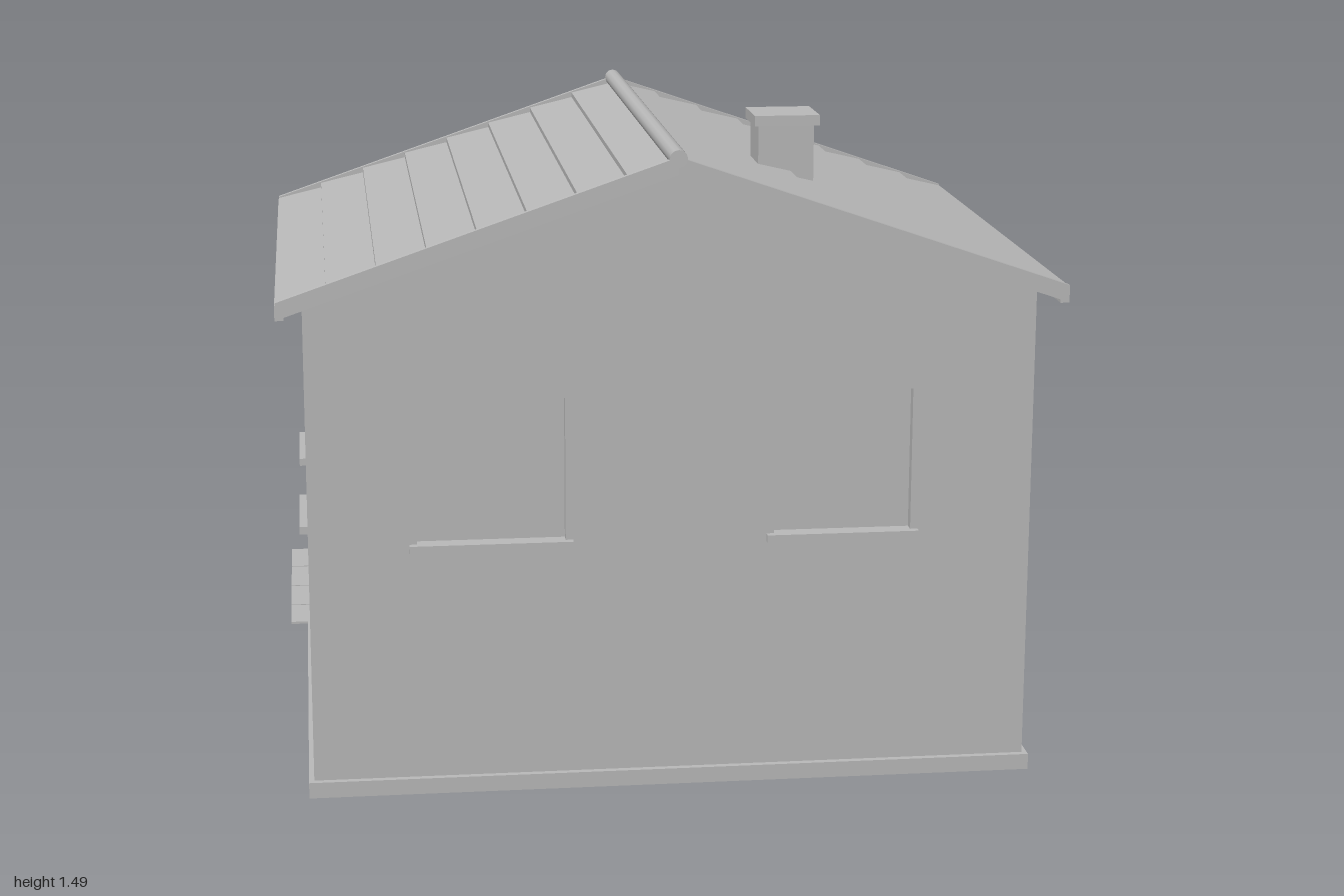
import * as THREE from 'three';

const grey = new THREE.MeshStandardMaterial({ color: 0xbababa });
grey.name = 'plain grey';
const greyThin = new THREE.MeshStandardMaterial({ color: 0xbababa, side: THREE.DoubleSide });
greyThin.name = 'plain grey cloth';

export function createModel() {
  const model = new THREE.Group();
  model.name = 'cornerShop';

  const add = (name, geo, mat = grey, parent = model) => {
    const m = new THREE.Mesh(geo, mat);
    m.name = name;
    parent.add(m);
    return m;
  };
  // box given by its min and max corners
  const box = (name, x0, x1, y0, y1, z0, z1, parent = model) => {
    const m = add(name, new THREE.BoxGeometry(x1 - x0, y1 - y0, z1 - z0), grey, parent);
    m.position.set((x0 + x1) / 2, (y0 + y1) / 2, (z0 + z1) / 2);
    return m;
  };
  const poly = (pts) => new THREE.Shape(pts.map(([x, y]) => new THREE.Vector2(x, y)));
  const rectHole = ([a, b, c, d]) => new THREE.Path([[a, c], [a, d], [b, d], [b, c]].map(([x, y]) => new THREE.Vector2(x, y)));
  const slab = (pts, z0, z1, holes = []) => {
    const s = poly(pts);
    s.holes = holes.map(rectHole);
    return new THREE.ExtrudeGeometry(s, { depth: z1 - z0, bevelEnabled: false }).translate(0, 0, z0);
  };

  const slope = 0.345;
  const roofY = (x) => 1.465 - slope * Math.abs(x);
  const gable = (w, y0, drop = 0.03) => [[-w, y0], [w, y0], [w, roofY(w) - drop], [0, roofY(0) - drop], [-w, roofY(w) - drop]];

  // Plinth and inner core, whose faces act as the recessed panes
  box('plinth', -0.835, 0.835, 0, 0.037, -0.32, 0.945);
  add('windowPanes', slab(gable(0.8, 0.02), -0.285, 0.905));

  // Walls: windows are [from, to, bottom, top]
  const frontWindows = [[-0.58, -0.245, 0.59, 0.92], [0.23, 0.545, 0.59, 0.92]];
  const backWindows = [0.58, 0.167, -0.217, -0.613].map((c) => [c - 0.1, c + 0.1, 0.74, 1.05]);
  const sideWindows = [[0.5, 0.75, 0.59, 0.92], [-0.095, 0.147, 0.59, 0.92]];
  const shopOpening = [-0.76, 0.76, 0.037, 0.58];

  add('frontWall', slab(gable(0.823, 0.02), 0.9, 0.93, frontWindows));
  add('backWall', slab(gable(0.823, 0.02), -0.31, -0.28, [...backWindows, shopOpening]));
  for (const s of [1, -1]) {
    // local x is -z on the +x wall and +z on the -x wall
    const u = (z) => -s * z;
    const holes = sideWindows.map(([a, b, c, d]) => [Math.min(u(a), u(b)), Math.max(u(a), u(b)), c, d]);
    const lo = Math.min(u(-0.309), u(0.929)), hi = Math.max(u(-0.309), u(0.929));
    const wall = slab([[lo, 0.02], [hi, 0.02], [hi, 1.15], [lo, 1.15]], 0.79, 0.823, holes);
    add('sideWall', wall.rotateY(s * Math.PI / 2));
    for (const [a, b] of sideWindows) {
      box('sideSill', s > 0 ? 0.8 : -0.842, s > 0 ? 0.842 : -0.8, 0.572, 0.59, a - 0.012, b + 0.012);
    }
  }
  for (const [a, b] of frontWindows) box('frontSill', a - 0.017, b + 0.017, 0.572, 0.59, 0.9, 0.947);
  for (const [a, b] of backWindows) box('backSill', a - 0.012, b + 0.012, 0.722, 0.74, -0.33, -0.28);

  // Roof: overlapping courses stepping down on both slopes
  const courses = 8, w = 0.88, step = 0.012;
  for (const s of [1, -1]) {
    const pts = [[0, roofY(0) - 0.03], [0, roofY(0) - step]];
    for (let i = 1; i <= courses; i++) {
      const x = (w * i) / courses;
      pts.push([s * x, roofY(x)]);
      if (i < courses) pts.push([s * x, roofY(x) - step]);
    }
    pts.push([s * w, roofY(w) - 0.03]);
    add('roofSlope', slab(pts, -0.355, 0.985));
    // Bargeboards at both gable ends
    const board = [[0, roofY(0) - 0.036], [0, roofY(0) + 0.003], [s * w, roofY(w) + 0.003], [s * w, roofY(w) - 0.036]];
    add('bargeboardFront', slab(board, 0.983, 0.998));
    add('bargeboardBack', slab(board, -0.368, -0.353));
    box('eaveFascia', s > 0 ? 0.862 : -w - 0.002, s > 0 ? w + 0.002 : -0.862, 1.123, 1.157, -0.36, 0.99);
  }
  const ridge = add('ridgeCap', new THREE.CylinderGeometry(0.02, 0.02, 1.37, 12));
  ridge.rotation.x = Math.PI / 2;
  ridge.position.set(0, 1.464, 0.315);

  // Chimney
  box('chimneyShaft', 0.252, 0.384, 1.3, 1.462, 0.385, 0.505);
  box('chimneyCap', 0.241, 0.395, 1.46, 1.485, 0.37, 0.52);

  // Shop side: corner posts, cornice, sign band, door and window posts
  for (const s of [1, -1]) {
    box('cornerPost', s * 0.795 - 0.026, s * 0.795 + 0.026, 0, 1.123, -0.322, -0.29);
    const pipe = add('downpipe', new THREE.CylinderGeometry(0.01, 0.01, 1.1, 8));
    pipe.position.set(s * 0.795, 0.57, -0.322);
    for (const x of [0.26, 0.165]) box('shopPost', s * x - 0.013, s * x + 0.013, 0.03, 0.585, -0.325, -0.28);
  }
  box('cornice', -0.823, 0.823, 1.12, 1.147, -0.325, -0.3);
  box('signBand', -0.77, 0.77, 0.58, 0.68, -0.328, -0.3);

  // Awning: sloping cloth with gentle waves and a scalloped valance
  const scallops = 11, cols = scallops * 8, rows = 6;
  const awning = new THREE.PlaneGeometry(1.62, 1, cols, rows);
  const p = awning.attributes.position;
  for (let i = 0; i < p.count; i++) {
    const x = p.getX(i), row = Math.round((0.5 - p.getY(i)) * rows);
    const phase = (x / 1.62 + 0.5) * scallops * Math.PI;
    const t = Math.min(row / (rows - 1), 1);
    const wave = Math.abs(Math.sin(phase));
    if (row < rows) p.setXYZ(i, x, 0.59 - 0.055 * t + 0.005 * t * wave, -0.32 - 0.183 * t - 0.006 * t * wave);
    else p.setXYZ(i, x, 0.515 - 0.022 * wave, -0.505 - 0.008 * wave);
  }
  // seen from behind the building the cloth must wind outward
  const idx = awning.index.array;
  for (let i = 0; i < idx.length; i += 3) [idx[i + 1], idx[i + 2]] = [idx[i + 2], idx[i + 1]];
  awning.computeVertexNormals();
  add('awning', awning, greyThin);
  for (const x of [-0.79, 0.79]) {
    const path = new THREE.LineCurve3(new THREE.Vector3(x, 0.465, -0.32), new THREE.Vector3(x, 0.53, -0.503));
    add('awningArm', new THREE.TubeGeometry(path, 1, 0.005, 6));
  }

  // Paving slabs with open joints
  const pitch = 0.176, gap = 0.006;
  const zEdges = [-1, -0.828, -0.645, -0.47, -0.318];
  for (let i = 0; i < 10; i++) {
    for (let j = 0; j < 4; j++) {
      const x = -0.88 + i * pitch;
      box('pavingSlab', x + (i ? gap / 4 : 0), x + pitch - gap / 4, 0, 0.006, zEdges[j] + (j ? gap / 2 : 0), zEdges[j + 1] - gap / 2);
    }
  }

  // Produce crates
  for (const cx of [0.6, -0.6]) {
    const crate = new THREE.Group();
    crate.name = 'produceCrate';
    crate.position.set(cx, 0.006, -0.438);
    model.add(crate);
    box('crateBody', -0.087, 0.087, 0.002, 0.075, -0.062, 0.062, crate);
    for (const y of [0.004, 0.038, 0.072]) {
      for (const s of [1, -1]) {
        box('longSlat', -0.095, 0.095, y, y + 0.026, s * 0.066 - 0.005, s * 0.066 + 0.005, crate);
        box('endSlat', s * 0.09 - 0.005, s * 0.09 + 0.005, y, y + 0.026, -0.066, 0.066, crate);
      }
    }
    for (let i = 0; i < 4; i++) {
      for (let j = 0; j < 3; j++) {
        const fruit = add('produce', new THREE.SphereGeometry(0.02, 10, 8), grey, crate);
        fruit.position.set(-0.063 + i * 0.042, 0.085 + 0.004 * ((i + j) % 2), -0.039 + j * 0.039);
      }
    }
  }

  return model;
}
